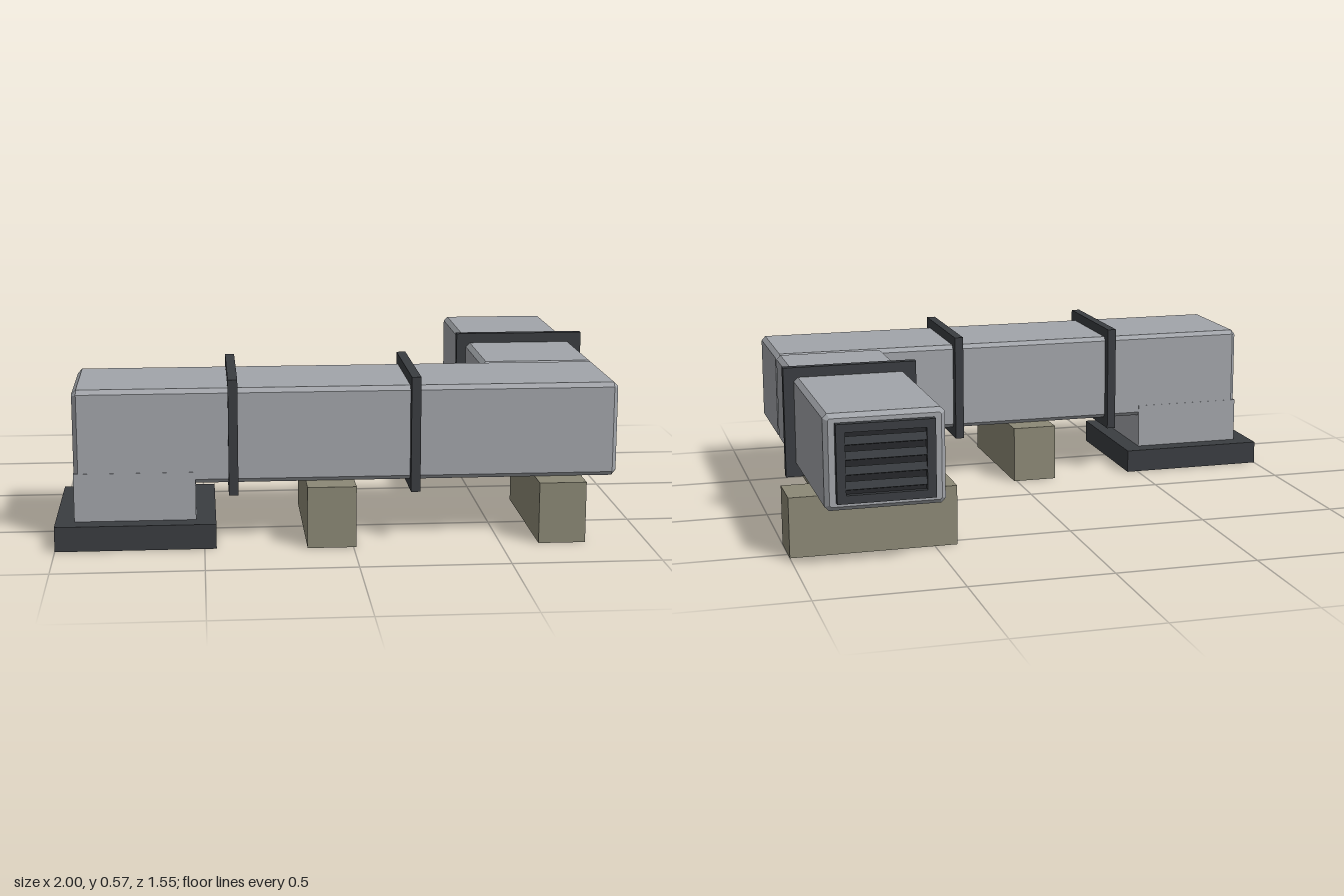
import * as THREE from 'three';

export function createModel() {
  const model = new THREE.Group();
  model.name = 'ventilationDuct';

  const material = (name, color) => {
    const m = new THREE.MeshStandardMaterial({ color });
    m.name = name;
    return m;
  };
  const metal = material('galvanised grey', 0xa2a5aa);
  const dark = material('dark steel', 0x3a3d41);
  const recess = material('grille shadow', 0x26282b);
  const stone = material('support block', 0x8c8976);

  const add = (name, geometry, mat) => {
    const mesh = new THREE.Mesh(geometry, mat);
    mesh.name = name;
    model.add(mesh);
    return mesh;
  };

  // Plain box given by its limits on each axis
  const box = (name, mat, [x0, x1], [y0, y1], [z0, z1]) =>
    add(name, new THREE.BoxGeometry(x1 - x0, y1 - y0, z1 - z0), mat)
      .position.set((x0 + x1) / 2, (y0 + y1) / 2, (z0 + z1) / 2);

  // Box section of given length along z, chamfered on every edge
  const chamferedDuct = (w, h, length, c = 0.015) => {
    const a = w / 2, b = h / 2;
    const outline = [
      [a - c, -b], [a, -b + c], [a, b - c], [a - c, b],
      [-a + c, b], [-a, b - c], [-a, -b + c], [-a + c, -b],
    ].map(([x, y]) => new THREE.Vector2(x, y));
    return new THREE.ExtrudeGeometry(new THREE.Shape(outline), {
      depth: length - 2 * c, bevelEnabled: true, bevelThickness: c,
      bevelSize: c, bevelOffset: -c, bevelSegments: 1,
    }).translate(0, 0, c - length / 2);
  };

  // Ducts: long run along x, branch to the back, and the drop at the end
  const midY = 0.372, height = 0.325;
  add('mainDuct', chamferedDuct(0.41, height, 1.845).rotateY(Math.PI / 2), metal)
    .position.set(-0.0125, midY, 0.485);
  add('branchDuct', chamferedDuct(0.405, height, 1.035), metal)
    .position.set(0.7075, midY, -0.2325);
  box('dropDuct', metal, [-0.936, -0.527], [0.08, 0.25], [0.279, 0.691]);
  box('basePlate', dark, [-1, -0.46], [0, 0.085], [0.212, 0.755]);

  // Joint flanges
  for (const x of [-0.4, 0.215])
    box('mainFlange', dark, [x - 0.016, x + 0.016], [0.175, 0.57], [0.245, 0.722]);
  box('branchFlange', dark, [0.47, 0.947], [0.175, 0.57], [-0.148, -0.117]);

  // Support blocks
  box('middleSupport', stone, [-0.155, 0.01], [0, 0.21], [0.2, 0.772]);
  box('cornerSupport', stone, [0.63, 0.79], [0, 0.21], [0.2, 0.772]);
  box('branchSupport', stone, [0.42, 1], [0, 0.21], [-0.545, -0.38]);

  // Outlet grille: frame around a recess, with louvres
  const frame = new THREE.Shape();
  frame.moveTo(-0.165, -0.133).lineTo(0.165, -0.133).lineTo(0.165, 0.133).lineTo(-0.165, 0.133);
  const hole = new THREE.Path();
  hole.moveTo(-0.135, -0.105).lineTo(-0.135, 0.105).lineTo(0.135, 0.105).lineTo(0.135, -0.105);
  frame.holes.push(hole);
  add('grilleFrame', new THREE.ExtrudeGeometry(frame, { depth: 0.027, bevelEnabled: false }), dark)
    .position.set(0.709, midY, -0.775);
  box('grilleBack', recess, [0.57, 0.848], [0.263, 0.481], [-0.757, -0.748]);
  for (let i = 0; i < 4; i++) {
    const louvre = add('grilleLouvre', new THREE.BoxGeometry(0.272, 0.028, 0.008), dark);
    louvre.position.set(0.709, midY + (i - 1.5) * 0.05, -0.764);
    louvre.rotation.x = 0.4;
  }

  return model;
}
